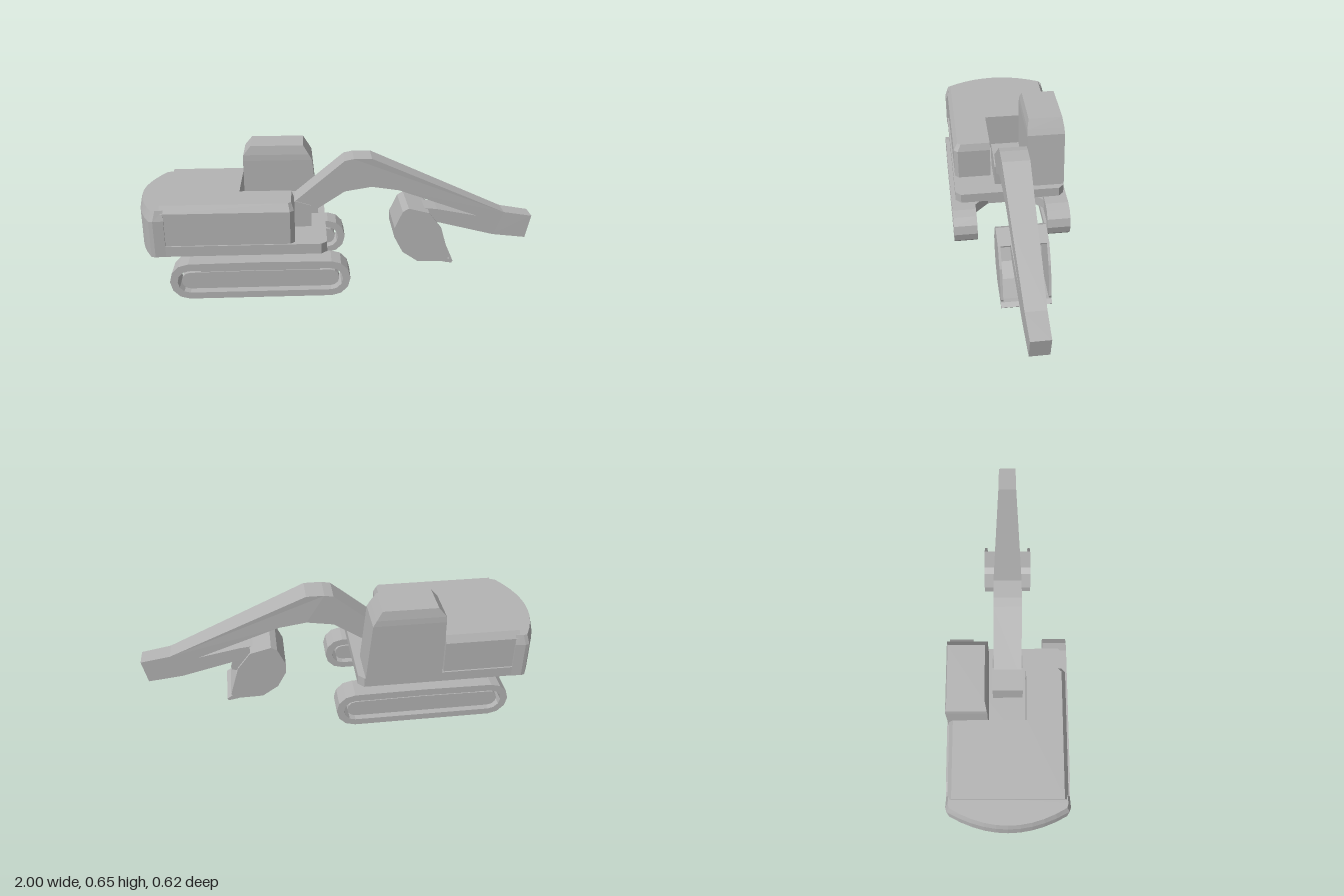
import * as THREE from 'three';

const grey = new THREE.MeshStandardMaterial({ color: 0xb3b3b3, side: THREE.DoubleSide });
grey.name = 'grey';

// Capped, faceted solid through rings of [u, v, h] points, h rising from ring to ring.
// axis 'z': u = x, v = y, h = z.  axis 'y': u = x, v = z, h = y.
function loft(rings, axis) {
  const up = axis === 'y';
  let sets = rings.map(r => r.map(([u, v, h]) => [u, up ? -v : v, h]));
  const flat = set => set.map(p => new THREE.Vector2(p[0], p[1]));
  if (THREE.ShapeUtils.isClockWise(flat(sets[0]))) sets = sets.map(s => s.slice().reverse());
  const n = sets[0].length, last = (sets.length - 1) * n;
  const pos = sets.flat().flatMap(([u, v, h]) => (up ? [u, h, -v] : [u, v, h]));
  const index = [];
  for (let k = 0; k < last; k += n) {
    for (let i = 0; i < n; i++) {
      const j = (i + 1) % n;
      index.push(k + i, k + j, k + n + j, k + i, k + n + j, k + n + i);
    }
  }
  THREE.ShapeUtils.triangulateShape(flat(sets[0]), []).forEach(([a, b, c]) => index.push(a, c, b));
  THREE.ShapeUtils.triangulateShape(flat(sets[sets.length - 1]), [])
    .forEach(([a, b, c]) => index.push(last + a, last + b, last + c));
  const g = new THREE.BufferGeometry();
  g.setAttribute('position', new THREE.Float32BufferAttribute(pos, 3));
  g.setIndex(index);
  const out = g.toNonIndexed();
  out.computeVertexNormals();
  return out;
}

const at = (points, h) => points.map(([u, v]) => [u, v, h]);
const prism = (points, h0, h1, axis) => loft([at(points, h0), at(points, h1)], axis);

function add(parent, name, geometry) {
  const mesh = new THREE.Mesh(geometry, grey);
  mesh.name = name;
  parent.add(mesh);
  return mesh;
}

// Faceted long oval in x and y, used for the tracks
function trackOval(x0, x1, y0, y1) {
  const h = (y1 - y0) / 2, cy = (y0 + y1) / 2, pts = [];
  const arc = (cx, start) => {
    for (let i = 0; i <= 6; i++) {
      const a = start + (i / 6) * Math.PI;
      pts.push([cx + h * Math.cos(a), cy + h * Math.sin(a)]);
    }
  };
  arc(x1 - h, -Math.PI / 2);
  pts.push([(x0 + x1) / 2, y1 + 0.004]);
  arc(x0 + h, Math.PI / 2);
  return pts;
}

function buildTrack(side) {
  const track = new THREE.Group();
  track.name = side > 0 ? 'leftTrack' : 'rightTrack';
  const vec = pts => pts.map(p => new THREE.Vector2(...p));
  const belt = new THREE.Shape(vec(trackOval(-0.84, 0.04, 0, 0.186)));
  belt.holes.push(new THREE.Path(vec(trackOval(-0.803, 0.003, 0.033, 0.15))));
  const g = new THREE.ExtrudeGeometry(belt, { depth: 0.124, bevelEnabled: false });
  g.translate(0, 0, side > 0 ? 0.187 : -0.311);
  add(track, 'trackBelt', g);
  // recessed side frame inside the belt
  const frame = prism(trackOval(-0.785, -0.015, 0.05, 0.135), -0.05, 0.05, 'z');
  add(track, 'trackFrame', frame).position.z = side * 0.249;
  const rail = new THREE.BoxGeometry(0.58, 0.025, 0.09);
  add(track, 'trackRail', rail).position.set(-0.4, 0.143, side * 0.249);
  return track;
}

function buildBucket() {
  const bucket = new THREE.Group();
  bucket.name = 'bucket';
  const back = [[0.45, 0.35], [0.345, 0.377], [0.315, 0.36], [0.275, 0.272], [0.275, 0.222],
    [0.32, 0.137], [0.40, 0.083], [0.55, 0.08]];
  // side cheeks
  const cheek = [...back, [0.56, 0.11], [0.515, 0.265]];
  for (const z of [-0.122, 0.11]) add(bucket, 'bucketCheek', prism(cheek, z, z + 0.012, 'z'));
  // curved shell between the cheeks
  const inner = back.map(([x, y]) => [x + (0.42 - x) * 0.07, y + (0.23 - y) * 0.07]).reverse();
  add(bucket, 'bucketShell', prism([...back, ...inner], -0.115, 0.115, 'z'));
  // cutting lip
  const lip = [[0.53, 0.078], [0.575, 0.07], [0.583, 0.08], [0.562, 0.095], [0.53, 0.09]];
  add(bucket, 'bucketLip', prism(lip, -0.122, 0.122, 'z'));
  return bucket;
}

export function createModel() {
  const model = new THREE.Group();
  model.name = 'excavator';

  // Undercarriage
  model.add(buildTrack(1), buildTrack(-1));
  const crossFrame = [[-0.68, 0.19], [-0.54, 0.19], [-0.46, 0.14], [-0.34, 0.14], [-0.26, 0.19],
    [-0.12, 0.19], [-0.2, 0.11]];
  const mirrored = crossFrame.map(([x, z]) => [x, -z]).reverse();
  add(model, 'crossFrame',
    prism([[-0.6, 0.11], ...crossFrame, ...mirrored, [-0.6, -0.11]], 0.103, 0.16, 'y'));
  add(model, 'slewRing', new THREE.CylinderGeometry(0.168, 0.168, 0.08, 24)).position.set(-0.4, 0.185, 0);

  // Rotating deck
  const deck = [[-0.86, 0.29], [-0.1, 0.29], [-0.072, 0.262], [-0.072, -0.262], [-0.1, -0.29], [-0.86, -0.29]];
  add(model, 'deck', prism(deck, 0.22, 0.272, 'y'));

  // Counterweight with a curved rear and bevelled top
  const weight = [[-0.85, -0.29], [-0.9, -0.294]];
  for (let i = 0; i <= 10; i++) {
    const t = -1 + i / 5;
    weight.push([-1 + 0.08 * t * t, 0.288 * t]);
  }
  weight.push([-0.9, 0.294], [-0.85, 0.29]);
  const weightTop = weight.map(([x, z]) => [x < -0.86 ? x + 0.012 : x, z * 0.95]);
  add(model, 'counterweight', loft([at(weight, 0.22), at(weight, 0.405), at(weightTop, 0.455)], 'y'));

  // L-shaped engine hood with bevelled top
  const hood = [[-0.87, -0.282], [-0.5, -0.282], [-0.5, 0.09], [-0.23, 0.09], [-0.23, 0.262],
    [-0.25, 0.282], [-0.87, 0.282]];
  const hoodTop = [[-0.87, -0.262], [-0.5, -0.262], [-0.5, 0.09], [-0.243, 0.09], [-0.243, 0.245],
    [-0.258, 0.262], [-0.87, 0.262]];
  add(model, 'engineHood', loft([at(hood, 0.27), at(hood, 0.437), at(hoodTop, 0.475)], 'y'));

  // Cab, narrowing above the window line
  const rect = (x0, x1, z0, z1, y) => at([[x0, z0], [x1, z0], [x1, z1], [x0, z1]], y);
  add(model, 'cab', loft([
    rect(-0.49, -0.104, -0.292, -0.096, 0.25),
    rect(-0.49, -0.135, -0.292, -0.096, 0.57),
    rect(-0.488, -0.152, -0.29, -0.098, 0.6),
    rect(-0.45, -0.18, -0.282, -0.107, 0.646),
  ], 'y'));

  // Boom mount
  const mount = [[-0.335, 0.265], [-0.335, 0.405], [-0.22, 0.408], [-0.145, 0.385], [-0.145, 0.265]];
  add(model, 'boomMount', prism(mount, -0.075, 0.075, 'z'));

  // Boom with the stick folded back beneath it, tapering towards the tip
  const arm = [[-0.27, 0.372], [0.025, 0.617], [0.07, 0.626], [0.16, 0.626], [0.5, 0.474], [0.85, 0.318],
    [0.998, 0.293], [0.972, 0.173], [0.8, 0.195], [0.5, 0.275], [0.345, 0.365], [0.5, 0.346],
    [0.71, 0.302], [0.3, 0.455], [0.16, 0.478], [0.025, 0.456], [-0.145, 0.345], [-0.25, 0.275]];
  const halfWidth = x => 0.069 - 0.022 * THREE.MathUtils.clamp((x - 0.15) / 0.8, 0, 1);
  add(model, 'boomAndStick', loft([-1, 1].map(s => arm.map(([x, y]) => [x, y, s * halfWidth(x)])), 'z'));

  model.add(buildBucket());
  return model;
}
